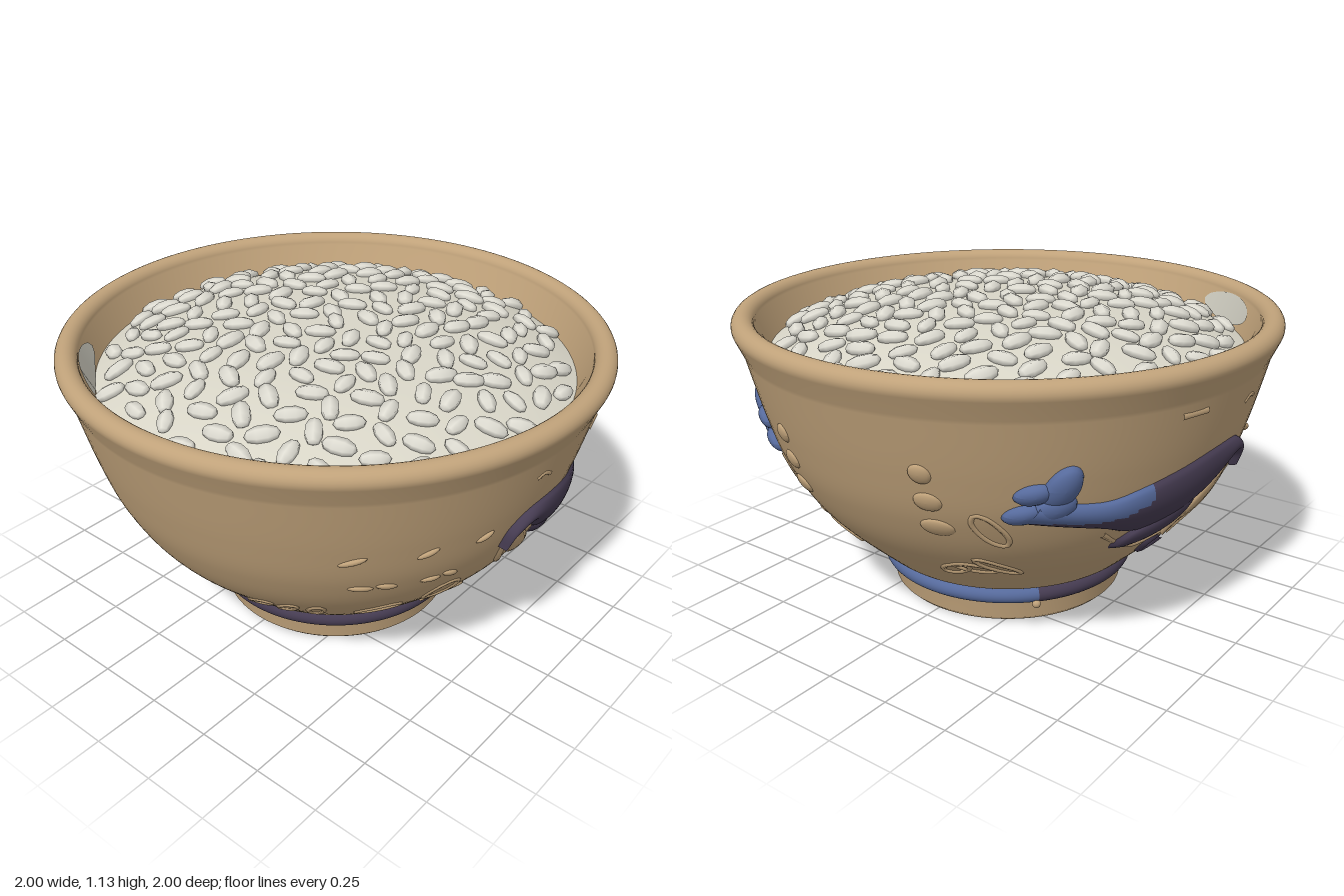
import * as THREE from 'three';
import { mergeGeometries } from 'three/addons/utils/BufferGeometryUtils.js';

const { PI, sin, cos, sqrt, max } = Math;
const DEG = PI / 180;
const spline = (pts) => new THREE.SplineCurve(pts.map(([x, y]) => new THREE.Vector2(x, y)));
// Point list made by a rule running from 0 to 1
const sweep = (n, rule) => Array.from({ length: n + 1 }, (_, i) => new THREE.Vector2(...rule(i / n)));

// Outer wall of the bowl (radius, height)
const wall = spline([[0.47, 0.15], [0.52, 0.18], [0.73, 0.385], [0.84, 0.56], [0.904, 0.74], [0.963, 0.965]]).getPoints(48);

function wallRadius(y) {
  const i = max(1, wall.findIndex((p) => p.y >= y));
  const a = wall[i - 1], b = wall[i];
  return a.x + (b.x - a.x) * (y - a.y) / (b.y - a.y);
}

// Wraps a flat point (u, y) onto the wall, raised by h, seen from direction az
function onWall(u, y, h, az) {
  const r = wallRadius(y), a = az + Math.asin(u / r);
  return new THREE.Vector3(sin(a) * (r + h), y, cos(a) * (r + h));
}

// Surface from a rule; isSecond sends faces to a second material
function grid(ns, nt, at, isSecond = () => false) {
  const pos = [], lists = [[], []];
  for (let i = 0; i <= ns; i++) for (let j = 0; j <= nt; j++) pos.push(...at(i / ns, j / nt).toArray());
  for (let i = 0; i < ns; i++) for (let j = 0; j < nt; j++) {
    const a = i * (nt + 1) + j, b = a + nt + 1;
    lists[isSecond(i / ns, j / nt) ? 1 : 0].push(a, a + 1, b + 1, a, b + 1, b);
  }
  const g = new THREE.BufferGeometry();
  g.setAttribute('position', new THREE.Float32BufferAttribute(pos, 3));
  g.setIndex(lists.flat());
  g.addGroup(0, lists[0].length, 0);
  g.addGroup(lists[0].length, lists[1].length, 1);
  g.computeVertexNormals();
  return g;
}

// Point on a turned oval
function oval(u, y, ru, ry, rot, a) {
  const p = new THREE.Vector2(cos(a) * ru, sin(a) * ry).rotateAround(new THREE.Vector2(), rot * DEG);
  return [u + p.x, y + p.y];
}

// Rounded oval swelling on the wall
function blob(u, y, ru, ry, rot, h, az = 0) {
  return grid(24, 6, (s, rho) => onWall(...oval(u, y, ru * rho, ry * rho, rot, s * 2 * PI),
    (h + 0.008) * sqrt(1 - rho * rho) - 0.008, az));
}

// Raised line along the wall
function ridge(pts, radius, az = 0, closed = false) {
  const curve = new THREE.CatmullRomCurve3(pts.map(([u, y]) => onWall(u, y, -radius * 0.5, az)), closed);
  const g = new THREE.TubeGeometry(curve, 28, radius, 8, closed);
  g.deleteAttribute('uv');
  return g;
}

// Raised oval ring on the wall
function loop(u, y, ru, ry, rot, az = 0) {
  const pts = Array.from({ length: 8 }, (_, i) => oval(u, y, ru, ry, rot, i * PI / 4));
  return ridge(pts, 0.011, az, true);
}

// Mirror image through the plane z = 0
function mirrored(geometry) {
  const g = geometry.clone().scale(1, 1, -1), ix = g.index.array;
  for (let i = 0; i < ix.length; i += 3) [ix[i], ix[i + 1]] = [ix[i + 1], ix[i]];
  return g;
}

function makeMaterial(name, color) {
  const m = new THREE.MeshStandardMaterial({ color });
  m.name = name;
  return m;
}

export function createModel() {
  const model = new THREE.Group();
  const clay = makeMaterial('tan clay', 0xc0a27a);
  const dark = makeMaterial('dark purple glaze', 0x463c52);
  const blue = makeMaterial('blue glaze', 0x566a9c);
  const rice = makeMaterial('rice bed', 0xd8d5c7);
  const grainMat = makeMaterial('rice grain', 0xdedcd2);
  const smear = makeMaterial('pale smear', 0xc9c7bb);
  smear.side = THREE.DoubleSide;
  const add = (name, geometry, material) => {
    const m = new THREE.Mesh(geometry, material);
    m.name = name;
    model.add(m);
  };
  const addBoth = (name, geometry, material) => {
    add(name + 'Front', geometry, material);
    add(name + 'Back', mirrored(geometry), material);
  };

  // Bowl: foot, wall, rolled rim and inside
  const foot = [[0, 0.025], [0.37, 0.025], [0.39, 0], [0.43, 0], [0.445, 0.015], [0.452, 0.145]];
  const rim = sweep(14, (t) => [0.957 + 0.041 * cos(PI * (t * 1.15 - 0.15)), 1.05 + 0.04 * sin(PI * (t * 1.15 - 0.15))]);
  const inside = [[0.86, 0.93], [0.8, 0.8], [0, 0.75]];
  const toPoints = (list) => list.map(([x, y]) => new THREE.Vector2(x, y));
  add('bowl', new THREE.LatheGeometry([...toPoints(foot), ...wall, ...rim, ...toPoints(inside)], 128), clay);

  // Glazed band above the foot, blue on one side, with a bead at each colour change
  const band = sweep(12, (t) => [0.445 + 0.042 * max(0, sin(PI * t)) ** 0.35, 0.083 + 0.067 * t]);
  add('bandBlue', new THREE.LatheGeometry(band, 48, 25 * DEG, 115 * DEG), blue);
  add('bandDark', new THREE.LatheGeometry(band, 96, 140 * DEG, 245 * DEG), dark);
  const bead = new THREE.SphereGeometry(0.016, 12, 8).translate(0, 0.085, 0.478).rotateY(41 * DEG);
  addBoth('bandBead', bead, clay);

  // Whale body, swelling between its back line and belly line
  const back = spline([[-0.17, 0.6], [-0.16, 0.68], [-0.08, 0.74], [0.08, 0.745], [0.25, 0.712], [0.36, 0.682],
    [0.48, 0.65], [0.64, 0.67]]);
  const belly = spline([[-0.155, 0.59], [-0.13, 0.65], [-0.05, 0.66], [0.06, 0.55], [0.18, 0.48], [0.32, 0.48],
    [0.45, 0.53], [0.66, 0.585]]);
  const body = grid(60, 14, (s, t) => {
    const p = back.getPoint(s).lerp(belly.getPoint(s), t);
    return onWall(p.x, p.y, 0.045 * sqrt(max(0, sin(PI * t))) - 0.01, 0);
  }, (s, t) => s > 0.68 && t < 0.25 + (s - 0.68) * 1.8);
  addBoth('whaleBody', body, [dark, blue]);
  addBoth('whaleFlippers', mergeGeometries([
    blob(0.21, 0.487, 0.165, 0.06, -25, 0.035),
    ridge([[0.125, 0.41], [0.142, 0.365], [0.1, 0.315], [0.05, 0.325], [0.043, 0.36]], 0.021),
  ]), dark);
  addBoth('whaleTail', mergeGeometries([
    blob(0.605, 0.64, 0.055, 0.06, 0, 0.038),
    blob(0.608, 0.72, 0.047, 0.085, 0, 0.04),
    ...[0.7, 0.622].map((y) => blob(0.665, y, 0.044, 0.042, 0, 0.035)),
  ]), blue);

  // Clay folds under the whale
  addBoth('bellyFolds', mergeGeometries([
    blob(-0.02, 0.53, 0.14, 0.05, -48, 0.018),
    ridge([[-0.145, 0.61], [-0.09, 0.49], [0.05, 0.38]], 0.018),
    ridge([[-0.1, 0.65], [-0.03, 0.57], [0.12, 0.41]], 0.028),
    ridge([[0.13, 0.42], [0.25, 0.4], [0.42, 0.5]], 0.014),
  ]), clay);

  // Raised clay ornament: dots, rings, a bar, and leaves and buds at the side
  const ornament = [
    ridge([[0.2, 0.915], [0.31, 0.915]], 0.014),
    ridge([[-0.125, 0.88], [-0.09, 0.89], [-0.05, 0.87]], 0.009),
    ridge([[-0.22, 0.27], [-0.15, 0.36], [-0.06, 0.25]], 0.012),
    loop(-0.28, 0.42, 0.05, 0.055, 0),
    loop(-0.42, 0.34, 0.05, 0.035, 50),
  ];
  for (let k = 0; k < 7; k++) {
    ornament.push(blob(-0.65 + 0.063 * k, 0.6 + 0.1 * cos(2.1 * k), 0.037, 0.016, 30 * cos(2 * k), 0.012));
  }
  for (let k = 0; k < 3; k++) {
    ornament.push(loop(-0.25 - 0.07 * k, 0.33 + 0.015 * k, 0.06, 0.022, 35 * k - 25, PI / 2));
    ornament.push(blob(-0.3, 0.55 + 0.105 * k, 0.06 - 0.01 * k, 0.04, 0, 0.014, PI / 2));
    ornament.push(loop(0.1 * k - 0.15, 0.34, 0.06, 0.025, 40 + 15 * k, -PI / 3));
  }
  ornament.push(loop(-0.45, 0.55, 0.035, 0.07, -20, PI / 2));
  addBoth('ornament', mergeGeometries(ornament), clay);

  // Pale smear on the inside wall
  add('insideSmear', grid(24, 4, (s, t) => {
    const y = 1.005 + 0.05 * sqrt(max(0, sin(PI * s))) * (1 - 2 * t);
    return new THREE.Vector3().setFromCylindricalCoords(0.855 + (y - 0.93) * 0.475, (24 * s - 141) * DEG, y);
  }), smear);

  // Rice: a domed bed with loose grains
  const domeY = (r) => 1.1 - 0.15 * (r / 0.87) ** 3;
  add('riceBed', new THREE.LatheGeometry(sweep(20, (t) => [0.87 * (1 - t), domeY(0.87 * (1 - t))]), 72), rice);

  let seed = 7;
  const random = () => (seed = (seed * 16807) % 2147483647) / 2147483647;
  const grain = new THREE.SphereGeometry(1, 6, 5).rotateZ(PI / 2).scale(0.056, 0.025, 0.033);
  const grains = [], count = 190, up = new THREE.Vector3(0, 1, 0);
  for (let i = 0; i < count; i++) {
    const r = 0.84 * sqrt((i + random()) / count), a = i * 2.4 + random() * 0.06;
    const slope = 0.45 * r * r / 0.87 ** 3;
    const normal = new THREE.Vector3(sin(a) * slope, 1, cos(a) * slope).normalize();
    const turn = new THREE.Quaternion().setFromUnitVectors(up, normal)
      .multiply(new THREE.Quaternion().setFromAxisAngle(up, random() * PI));
    const at = new THREE.Vector3(sin(a) * r, domeY(r) + 0.008, cos(a) * r);
    const size = new THREE.Vector3().setScalar(0.9 + random() * 0.2);
    grains.push(grain.clone().applyMatrix4(new THREE.Matrix4().compose(at, turn, size)));
  }
  add('riceGrains', mergeGeometries(grains), grainMat);
  return model;
}
